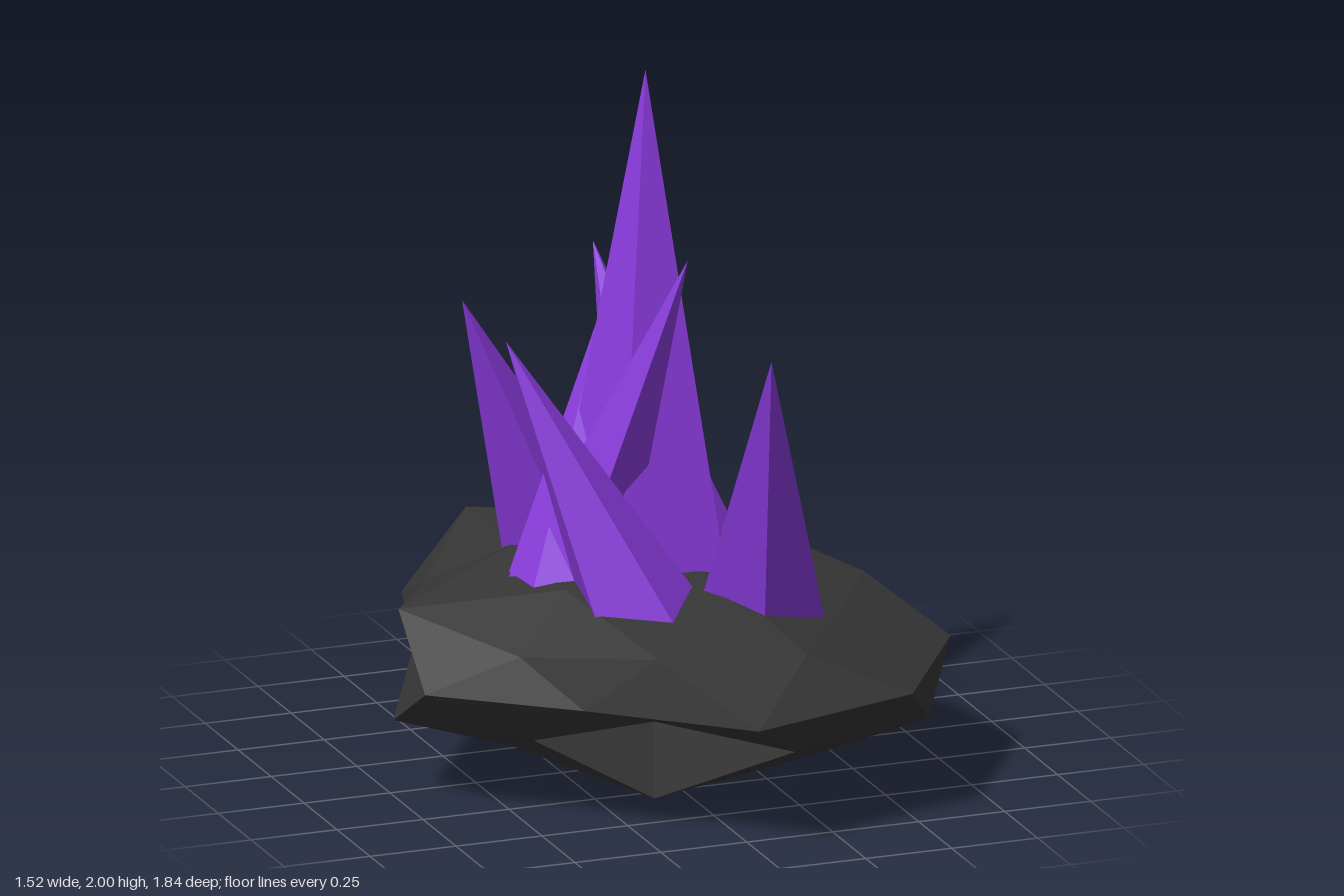
import * as THREE from 'three';
import { ConvexGeometry } from 'three/addons/geometries/ConvexGeometry.js';

const rad = THREE.MathUtils.degToRad;

// Rings of the rock: height and radius on a unit ball, first angle and step
// (from +x towards +z, in degrees), then how far each corner is pushed out.
const RINGS = [
  [-1, 0, 0, 72, [0.95]],
  [-0.8507, 0.5257, 36, 72, [0.88, 0.9, 0.76, 0.7, 0.93]],
  [-0.5257, 0.8507, 0, 72, [0.74, 0.76, 0.655, 0.72, 0.79]],
  [-0.4472, 0.8944, 36, 72, [0.89, 0.5, 0.82, 0.71, 0.857]],
  [0, 1, 18, 36, [0.83, 0.865, 0.86, 0.645, 0.77, 0.63, 0.79, 0.98, 0.765, 0.53]],
  [0.4472, 0.8944, 0, 72, [0.71, 0.78, 0.7, 0.69, 0.78]],
  [0.5257, 0.8507, 36, 72, [0.64, 0.8, 0.845, 0.91, 0.72]],
  [0.8507, 0.5257, 0, 72, [0.64, 0.73, 0.76, 0.72, 0.72]],
  [1, 0, 0, 72, [0.68]],
];

// Faceted ball whose corners are pushed in and out, then flattened
function rockGeometry() {
  const corners = [];
  for (const [y, r, start, step, pushes] of RINGS) {
    pushes.forEach((push, i) => {
      const a = rad(start + step * i);
      corners.push({ dir: new THREE.Vector3(r * Math.cos(a), y, r * Math.sin(a)), push });
    });
  }
  const geometry = new ConvexGeometry(corners.map((c) => c.dir));
  const pos = geometry.attributes.position;
  const v = new THREE.Vector3();
  for (let i = 0; i < pos.count; i++) {
    v.fromBufferAttribute(pos, i);
    const { push } = corners.find((c) => c.dir.distanceTo(v) < 0.01);
    pos.setXYZ(i, v.x * push - 0.03, v.y * push * 0.39 + 0.37, v.z * push + 0.06);
  }
  geometry.computeVertexNormals();
  return geometry;
}

// Five-sided spike leaning from its base centre to its tip, with its foot sunk in the rock
function crystalGeometry(base, tip, radius, spin) {
  const foot = new THREE.Vector3(...base);
  const lean = new THREE.Vector3(...tip).sub(foot);
  const sink = 0.07 / lean.y;
  foot.addScaledVector(lean, -sink);
  lean.multiplyScalar(1 + sink);

  const cone = new THREE.ConeGeometry(radius * (1 + sink), 1, 5, 1, false, Math.PI / 2 - rad(spin));
  cone.translate(0, 0.5, 0);
  const shear = new THREE.Matrix4().makeBasis(
    new THREE.Vector3(1, 0, 0), lean, new THREE.Vector3(0, 0, 1));
  cone.applyMatrix4(shear.setPosition(foot));
  const flat = cone.toNonIndexed();
  flat.computeVertexNormals();
  return flat;
}

// name, base centre, tip, base radius, turn of the base in degrees
const CRYSTALS = [
  ['centralCrystal', [-0.03, 0.58, 0.06], [-0.03, 2, 0.06], 0.265, -90],
  ['frontCrystal', [0.18, 0.54, 0.365], [0.07, 1.365, 0.755], 0.18, 33],
  ['frontRightCrystal', [-0.17, 0.59, 0.36], [-0.49, 1.32, 0.2], 0.175, 8],
  ['backRightCrystal', [-0.165, 0.59, -0.23], [-0.51, 1.355, -0.08], 0.19, -48],
  ['tallSideCrystal', [-0.26, 0.6, 0.065], [-0.01, 1.535, 0.33], 0.17, 36],
  ['shortSideCrystal', [-0.29, 0.6, 0.12], [-0.07, 1.31, -0.13], 0.155, 0],
  ['backCrystal', [0.165, 0.56, -0.24], [0.07, 1.3, -0.6], 0.18, 0],
];

export function createModel() {
  const rockGrey = new THREE.MeshStandardMaterial({ color: 0x363636 });
  rockGrey.name = 'rockGrey';
  const crystalPurple = new THREE.MeshStandardMaterial({ color: 0x8a3bdd });
  crystalPurple.name = 'crystalPurple';

  const model = new THREE.Group();
  model.name = 'crystalCluster';

  const rock = new THREE.Mesh(rockGeometry(), rockGrey);
  rock.name = 'rockBase';
  model.add(rock);

  for (const [name, base, tip, radius, spin] of CRYSTALS) {
    const crystal = new THREE.Mesh(crystalGeometry(base, tip, radius, spin), crystalPurple);
    crystal.name = name;
    model.add(crystal);
  }
  return model;
}
